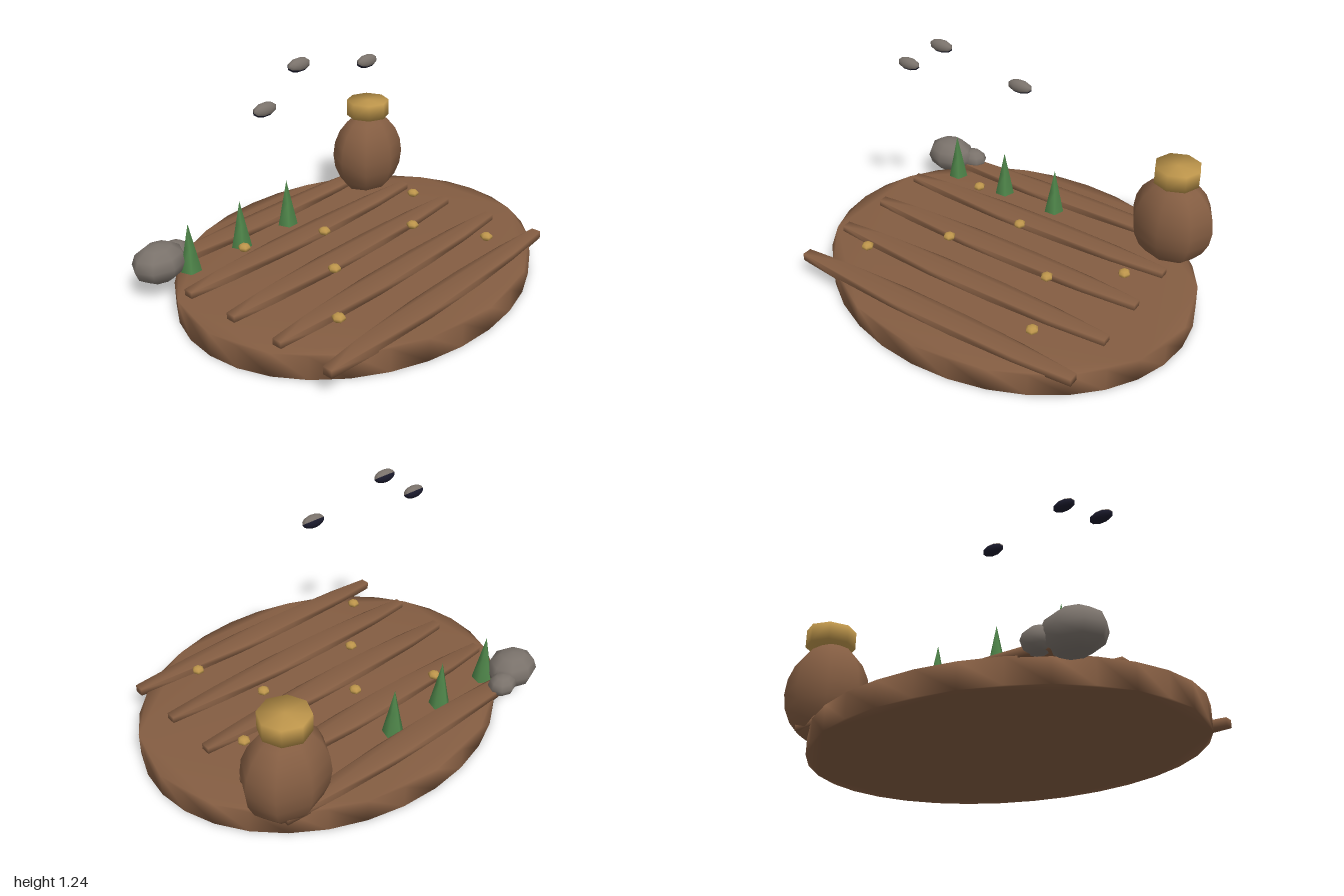
import * as THREE from 'three';
import { mergeVertices } from 'three/addons/utils/BufferGeometryUtils.js';

const paint = (name, color) => Object.assign(new THREE.MeshStandardMaterial({ color }), { name });

// Share vertices so that shading rolls softly over every edge
function soften(geometry) {
  geometry.deleteAttribute('uv');
  geometry.deleteAttribute('normal');
  const merged = mergeVertices(geometry, 1e-4);
  merged.computeVertexNormals();
  return merged;
}

// Flat outline in x/z, raised to a given height
function slab(points, height) {
  const shape = new THREE.Shape(points.map(([x, y]) => new THREE.Vector2(x, y)));
  const geometry = new THREE.ExtrudeGeometry(shape, { depth: height, bevelEnabled: false });
  return soften(geometry.rotateX(-Math.PI / 2));
}

export function createModel() {
  const model = new THREE.Group();
  model.name = 'gardenPlot';
  const soil = paint('soilBrown', 0x845d42);
  const gold = paint('gold', 0xbd954b);
  const green = paint('leafGreen', 0x4e8449);
  const stone = paint('stoneGrey', 0x7a726b);
  const night = paint('darkNavy', 0x1a1a2c);

  function add(name, geometry, material, x, y, z, parent = model) {
    const mesh = new THREE.Mesh(geometry, material);
    mesh.name = name;
    mesh.position.set(x, y, z);
    parent.add(mesh);
    return mesh;
  }
  const ellipsoid = (rx, ry, rz, sides, rings) =>
    new THREE.SphereGeometry(1, sides, rings).scale(rx, ry, rz);

  // Oval ground plate
  const oval = Array.from({ length: 32 }, (_, i) => {
    const a = (i / 32) * Math.PI * 2;
    return [Math.cos(a), 0.817 * Math.sin(a)];
  });
  add('ground', slab(oval, 0.12), soil, 0, 0, 0);

  // Tapered soil ridges
  const half = [[-0.87, 0.025], [-0.63, 0.048], [-0.25, 0.065], [0.12, 0.065], [0.45, 0.05], [0.745, 0.025]];
  const outline = [...half.map(([x, w]) => [x, -w]), ...half.slice().reverse()];
  const ridge = slab(outline, 0.04);
  for (let i = -2; i <= 2; i++) add('ridge', ridge, soil, 0, 0.113, i * 0.3);

  // Big jar with a gold collar
  const jar = new THREE.Group();
  jar.name = 'jar';
  jar.position.set(0.665, 0, -0.52);
  model.add(jar);
  add('jarBody', ellipsoid(0.225, 0.25, 0.18, 8, 10), soil, 0, 0.31, 0, jar);
  add('jarLid', soften(new THREE.CylinderGeometry(0.121, 0.121, 0.09, 8)), gold, 0, 0.595, 0, jar);

  // Boulders at the back corner
  add('largeBoulder', ellipsoid(0.145, 0.1, 0.12, 8, 6), stone, -0.82, 0.18, -0.58);
  add('smallBoulder', ellipsoid(0.08, 0.06, 0.067, 8, 6), stone, -0.688, 0.165, -0.63);

  // Row of five-sided sprouts
  const sprout = new THREE.ConeGeometry(0.055, 0.255, 5, 2);
  for (const x of [-0.7, -0.366, -0.032]) {
    add('sprout', sprout, green, x, 0.2475, -0.49).rotation.y = Math.PI;
  }

  // Scattered gold seeds
  const seed = ellipsoid(0.032, 0.021, 0.034, 6, 5);
  const seedSpots = [[-0.455, -0.365], [-0.06, -0.185], [0.605, -0.125], [-0.305, 0.115],
    [0.3, 0.115], [-0.605, 0.42], [0.45, 0.48]];
  for (const [x, z] of seedSpots) add('seed', seed, gold, x, 0.19, z);

  // Floating pebbles, grey above and dark underneath
  const shell = (start) => new THREE.SphereGeometry(1, 10, 4, 0, Math.PI * 2, start, Math.PI / 2)
    .rotateX(0.6).scale(0.065, 0.032, 0.03);
  const upper = shell(0);
  const lower = shell(Math.PI / 2);
  for (const [x, y] of [[-0.608, 1.063], [-0.396, 1.213], [0.058, 1.124]]) {
    const pebble = new THREE.Group();
    pebble.name = 'floatingPebble';
    pebble.position.set(x, y, 0);
    model.add(pebble);
    add('pebbleTop', upper, stone, 0, 0, 0, pebble);
    add('pebbleUnderside', lower, night, 0, 0, 0, pebble);
  }
  return model;
}
